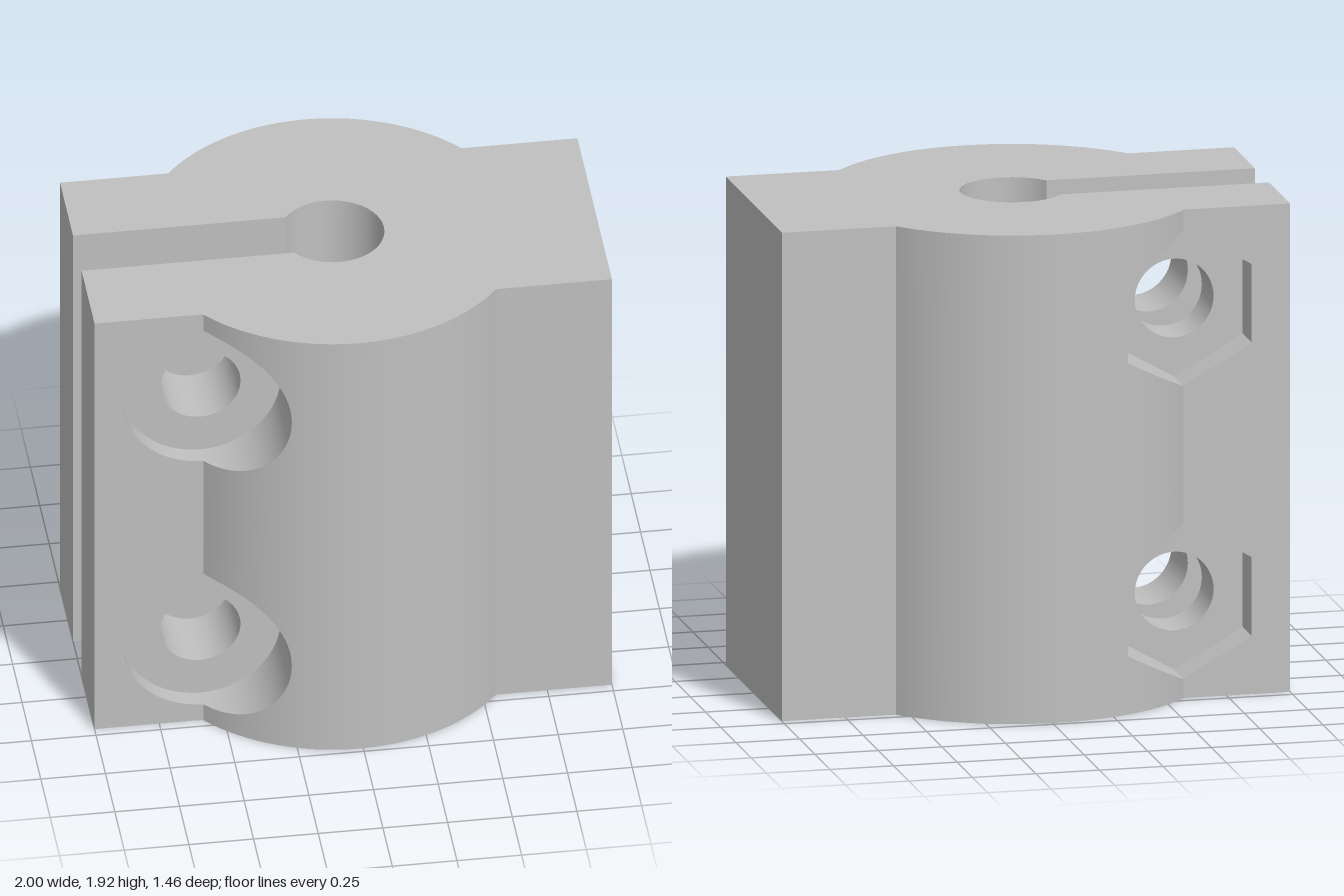
import * as THREE from 'three';
import { mergeGeometries, toCreasedNormals } from 'three/addons/utils/BufferGeometryUtils.js';

const H = 1.925;            // height
const FLAT = 0.46;          // half thickness of the flat wings
const SLOT = 0.115;         // half width of the clamping slot
const CX = -0.015;          // axis of barrel and bore
const R = 0.73, BORE = 0.2; // barrel and bore radii
const BOLT_X = -0.58, BOLT_R = 0.155, BOLT_Y = [0.385, 1.54];
const GAMMA = Math.asin(FLAT / R), BETA = Math.asin(SLOT / BORE);
const BORE_X = CX - BORE * Math.cos(BETA);
const RIGHT_X = CX + R * Math.cos(GAMMA);

// Outer surface depth at x: flat wings with the round barrel bulging out
const surfaceZ = x => Math.max(FLAT, Math.sqrt(Math.max(0, R * R - (x - CX) ** 2)));

// Geometry from a list of four-cornered faces, counter-clockwise from outside
function fromQuads(quads) {
  const p = [];
  for (const [a, b, c, d] of quads) p.push(...a, ...b, ...c, ...a, ...c, ...d);
  return new THREE.BufferGeometry().setAttribute('position', new THREE.Float32BufferAttribute(p, 3));
}

function plain(geometry) {
  const g = geometry.index ? geometry.toNonIndexed() : geometry;
  for (const key of Object.keys(g.attributes)) if (key !== 'position') g.deleteAttribute(key);
  return g;
}

// Turns every face of a plain geometry to point the other way
function flip(g) {
  const a = g.attributes.position.array;
  for (let i = 0; i < a.length; i += 9)
    for (let k = 0; k < 3; k++) [a[i + 3 + k], a[i + 6 + k]] = [a[i + 6 + k], a[i + 3 + k]];
  return g;
}

function circleHole(x, y, r) {
  return new THREE.Path().absarc(x, y, r, 0, Math.PI * 2, true);
}

// Vertical wall following points [x, z]
function wall(points) {
  return fromQuads(points.slice(1).map(([x1, z1], i) => {
    const [x0, z0] = points[i];
    return [[x0, 0, z0], [x1, 0, z1], [x1, H, z1], [x0, H, z0]];
  }));
}

// One jaw facing +z: outer skin, two pockets, bolt holes and slot face
function jaw(halfWidth, halfHeight, floorZ, outline) {
  const skin = [], pocket = [], N = 32, M = 40;
  const xs = [-1];
  for (let i = 0; i <= N; i++) xs.push(BOLT_X - halfWidth * Math.cos(Math.PI * i / N));
  const start = Math.acos((xs[xs.length - 1] - CX) / R);
  for (let i = 1; i <= M; i++) xs.push(CX + R * Math.cos(start + (GAMMA - start) * i / M));
  xs[xs.length - 1] = RIGHT_X;
  xs.push(1);

  for (let i = 0; i < xs.length - 1; i++) {
    const x0 = xs[i], x1 = xs[i + 1], z0 = surfaceZ(x0), z1 = surfaceZ(x1);
    const inside = i >= 1 && i <= N;
    const h0 = inside ? halfHeight(x0 - BOLT_X) : 0, h1 = inside ? halfHeight(x1 - BOLT_X) : 0;
    // skin strips below, between and above the pockets
    const [a, b] = BOLT_Y;
    const bands = [[0, 0, a - h0, a - h1], [a + h0, a + h1, b - h0, b - h1], [b + h0, b + h1, H, H]];
    for (const [l0, l1, u0, u1] of bands)
      skin.push([[x0, l0, z0], [x1, l1, z1], [x1, u1, z1], [x0, u0, z0]]);
    // pocket roof and sill
    if (inside) for (const c of BOLT_Y) {
      pocket.push([[x0, c + h0, floorZ], [x1, c + h1, floorZ], [x1, c + h1, z1], [x0, c + h0, z0]]);
      pocket.push([[x0, c - h0, z0], [x1, c - h1, z1], [x1, c - h1, floorZ], [x0, c - h0, floorZ]]);
    }
  }
  // upright pocket ends
  const h = halfHeight(halfWidth);
  if (h > 0.01) for (const c of BOLT_Y) for (const s of [-1, 1]) {
    const x = BOLT_X + s * halfWidth, z = surfaceZ(x);
    const q = [[x, c - h, floorZ], [x, c + h, floorZ], [x, c + h, z], [x, c - h, z]];
    pocket.push(s < 0 ? q : q.reverse());
  }

  const floors = [], bolts = [];
  const face = new THREE.Shape([[-1, 0], [BORE_X, 0], [BORE_X, H], [-1, H]].map(p => new THREE.Vector2(...p)));
  for (const c of BOLT_Y) {
    const floor = new THREE.Shape(outline.map(([u, v]) => new THREE.Vector2(BOLT_X + u, c + v)));
    floor.holes.push(circleHole(BOLT_X, c, BOLT_R));
    face.holes.push(circleHole(BOLT_X, c, BOLT_R));
    floors.push(plain(new THREE.ShapeGeometry(floor, 24).translate(0, 0, floorZ)));
    const tube = new THREE.CylinderGeometry(BOLT_R, BOLT_R, floorZ - SLOT, 48, 1, true);
    bolts.push(flip(plain(tube.rotateX(Math.PI / 2).translate(BOLT_X, c, (floorZ + SLOT) / 2))));
  }
  return {
    Skin: fromQuads(skin),
    Pockets: mergeGeometries([fromQuads(pocket), ...floors]),
    BoltHoles: mergeGeometries(bolts),
    SlotFace: flip(plain(new THREE.ShapeGeometry(face, 24).translate(0, 0, SLOT))),
    End: wall([[-1, SLOT], [-1, FLAT]]),
  };
}

// Points of a regular polygon with a corner pointing up
const polygon = (r, n) => Array.from({ length: n }, (_, i) => {
  const t = Math.PI / 2 + Math.PI * 2 * i / n;
  return [r * Math.cos(t), r * Math.sin(t)];
});

export function createModel() {
  const group = new THREE.Group();
  const grey = new THREE.MeshStandardMaterial({ color: 0xc0c0c0 });
  grey.name = 'grey';
  const add = (name, g) => {
    const mesh = new THREE.Mesh(toCreasedNormals(g, 0.4), grey);
    mesh.name = name;
    group.add(mesh);
  };

  // front jaw with round counterbores
  const P = 0.31;
  const front = jaw(P, u => Math.sqrt(Math.max(0, P * P - u * u)), 0.385, polygon(P, 64));
  for (const [part, g] of Object.entries(front)) add('front' + part, g);

  // back jaw with hexagonal nut pockets, built facing front and mirrored
  const back = jaw(P * Math.sqrt(3) / 2, u => P - Math.abs(u) / Math.sqrt(3), 0.307, polygon(P, 6));
  for (const [part, g] of Object.entries(back)) add('back' + part, flip(g.scale(1, 1, -1)));

  // solid end and bore
  add('solidEnd', wall([[1, FLAT], [1, -FLAT]]));
  const sweep = Math.PI - BETA;
  add('bore', wall(Array.from({ length: 49 }, (_, i) => {
    const t = sweep - 2 * sweep * i / 48;
    return [CX + BORE * Math.cos(t), -BORE * Math.sin(t)];
  })));

  // top and bottom faces
  const s = new THREE.Shape();
  s.moveTo(-1, SLOT);
  s.lineTo(BORE_X, SLOT);
  s.absarc(CX, 0, BORE, sweep, -sweep, true);
  s.lineTo(-1, -SLOT);
  s.lineTo(-1, -FLAT);
  s.absarc(CX, 0, R, GAMMA - Math.PI, -GAMMA, false);
  s.lineTo(1, -FLAT);
  s.lineTo(1, FLAT);
  s.absarc(CX, 0, R, GAMMA, Math.PI - GAMMA, false);
  s.lineTo(-1, FLAT);
  add('topFace', plain(new THREE.ShapeGeometry(s, 48).rotateX(-Math.PI / 2).translate(0, H, 0)));
  add('bottomFace', plain(new THREE.ShapeGeometry(s, 48).rotateX(Math.PI / 2)));
  return group;
}
